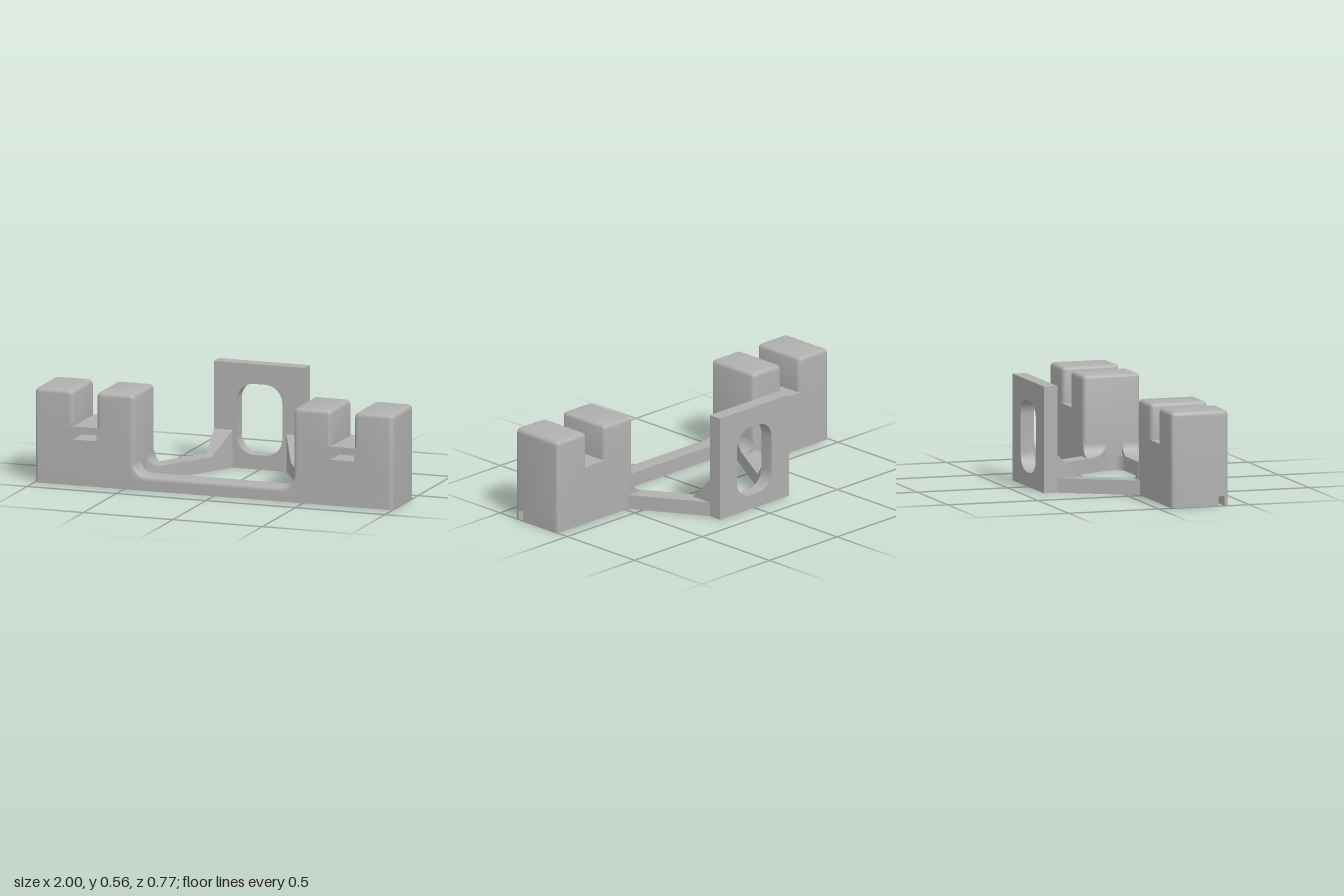
import * as THREE from 'three';
import { toCreasedNormals } from 'three/addons/utils/BufferGeometryUtils.js';
import { ConvexGeometry } from 'three/addons/geometries/ConvexGeometry.js';

const R = 0.022; // edge rounding
const BASE = 0.077; // height of the low frame
const GROOVE = 0.052; // height of the groove under the front

// Move every vertex by a rule
function remap(geo, rule) {
  const p = geo.attributes.position;
  const v = new THREE.Vector3();
  for (let i = 0; i < p.count; i++) {
    rule(v.fromBufferAttribute(p, i));
    p.setXYZ(i, v.x, v.y, v.z);
  }
  return geo;
}

// Mirrored copy across x = 0, with the corner order turned round
function mirrored(geo) {
  const g = geo.index ? geo.toNonIndexed() : geo.clone();
  const p = g.attributes.position;
  const a = new THREE.Vector3(), b = new THREE.Vector3();
  for (let i = 0; i < p.count; i += 3) {
    a.fromBufferAttribute(p, i + 1);
    b.fromBufferAttribute(p, i + 2);
    p.setXYZ(i + 1, b.x, b.y, b.z);
    p.setXYZ(i + 2, a.x, a.y, a.z);
  }
  return remap(g, (v) => { v.x = -v.x; });
}

// Closed path through [x, y, cornerRadius] points
function path(points, Type = THREE.Shape) {
  const s = new Type();
  points.forEach(([x, y, r = 0], i) => {
    const c = new THREE.Vector2(x, y);
    const toward = (q) => new THREE.Vector2(q[0], q[1]).sub(c).setLength(r).add(c);
    const n = points.length;
    const a = toward(points[(i + n - 1) % n]), b = toward(points[(i + 1) % n]);
    if (i === 0) s.moveTo(a.x, a.y); else s.lineTo(a.x, a.y);
    if (r) {
      // near-circular corner
      const k = 0.5523;
      const h1 = a.clone().lerp(c, k), h2 = b.clone().lerp(c, k);
      s.bezierCurveTo(h1.x, h1.y, h2.x, h2.y, b.x, b.y);
    }
  });
  s.closePath();
  return s;
}

// Front outline pushed along z, with rounded front and back edges
function roundedExtrude(shape, z0, z1) {
  return new THREE.ExtrudeGeometry(shape, {
    depth: z1 - z0 - 2 * R, bevelThickness: R, bevelSize: R, bevelOffset: -R,
    bevelSegments: 4, curveSegments: 6,
  }).translate(0, 0, z0 + R);
}

// Floor plan in [x, z, radius] raised from y0 to y1
const plan = (pts) => pts.map(([x, z, r]) => [x, -z, r]);
function slab(outline, hole, y0, y1) {
  const s = path(plan(outline));
  if (hole) s.holes.push(path(plan(hole), THREE.Path));
  return new THREE.ExtrudeGeometry(s, { depth: y1 - y0, bevelEnabled: false, curveSegments: 6 })
    .rotateX(-Math.PI / 2).translate(0, y0, 0);
}

export function createModel() {
  const model = new THREE.Group();
  model.name = 'bracket';
  const grey = new THREE.MeshStandardMaterial({ color: 0xb0b0b0 });
  grey.name = 'plain grey';

  const add = (name, geo) => {
    const mesh = new THREE.Mesh(toCreasedNormals(geo, 0.5), grey);
    mesh.name = name;
    model.add(mesh);
  };
  const addPair = (name, geo) => {
    add('left' + name, geo);
    add('right' + name, mirrored(geo));
  };

  // Low frame: block footings, slanted arms and the foot of the plate
  add('baseFrame', slab(
    [[-1, 0.33], [1, 0.33], [1, 0.07, R], [0.48, 0.07], [0.255, -0.31], [0.255, -0.385],
      [-0.255, -0.385], [-0.255, -0.31], [-0.48, 0.07], [-1, 0.07, R]],
    [[-0.15, -0.31], [0.15, -0.31], [0.445, 0.2], [0.445, 0.285, 0.05],
      [-0.445, 0.285, 0.05], [-0.445, 0.2]],
    0, BASE));

  // Thin lip in front of the groove
  add('frontLip', slab([[-1, 0.362], [-1, 0.385, R], [1, 0.385, R], [1, 0.362]], null, 0, GROOVE));

  // Front beam with fillets rising to the blocks
  const beam = path([[-0.5, -0.05], [0.5, -0.05], [0.5, 0.149], [0.445, 0.149], [0.445, BASE, 0.07],
    [-0.445, BASE, 0.07], [-0.445, 0.149], [-0.5, 0.149]]);
  add('frontBeam', remap(roundedExtrude(beam, 0.25, 0.385), (v) => {
    v.y = Math.max(v.y, GROOVE);
    v.z = Math.max(v.z, 0.285);
  }));

  // Notched blocks with a narrow pocket in the front
  const top = 0.507, c = 0.025;
  const block = path([[0.445, -0.05], [1, -0.05], [1, top, c], [0.785, top, c], [0.785, 0.315],
    [0.655, 0.315], [0.655, top, c], [0.445, top, c]]);
  block.holes.push(path([[0.68, 0.25], [0.68, 0.255], [0.76, 0.255], [0.76, 0.25]], THREE.Path));
  addPair('Block', remap(roundedExtrude(block, 0.07, 0.385), (v) => {
    if (v.x > 0.6 && v.x < 0.84 && v.y > 0.2 && v.y < 0.32) {
      if (v.y > 0.285) v.y = 0.315; // sharp notch floor
      else { // sharp pocket
        v.x = v.x < 0.72 ? 0.655 : 0.785;
        v.y = v.y < 0.2525 ? 0.245 : 0.28;
      }
    }
    v.y = Math.max(v.y, GROOVE);
  }));
  addPair('PocketBack', new THREE.BoxGeometry(0.14, 0.045, 0.18).translate(0.72, 0.2625, 0.16));

  // Fillet where each arm meets its block, trimmed along the arm
  const fillet = path([[0.375, 0.07], [0.46, 0.07], [0.46, 0.147], [0.445, 0.147], [0.445, BASE, 0.069],
    [0.375, BASE]]);
  const filletGeo = new THREE.ExtrudeGeometry(fillet, { depth: 0.13, steps: 8, bevelEnabled: false, curveSegments: 6 })
    .translate(0, 0, 0.07);
  addPair('ArmFillet', remap(filletGeo, (v) => {
    v.x = Math.max(v.x, 0.15 + (v.z + 0.31) * 0.5784);
  }));

  // Upright back plate with a rounded opening
  const plate = path([[-0.255, 0], [0.255, 0], [0.255, 0.565], [-0.255, 0.565]]);
  plate.holes.push(path([[-0.127, BASE, 0.095], [-0.127, 0.458, 0.095], [0.127, 0.458, 0.095],
    [0.127, BASE, 0.095]], THREE.Path));
  add('backPlate', new THREE.ExtrudeGeometry(plate, { depth: 0.075, bevelEnabled: false, curveSegments: 8 })
    .translate(0, 0, -0.385));

  // Wedges bracing the plate on the arms
  addPair('Gusset', new ConvexGeometry([
    [0.15, 0.202, -0.31], [0.255, 0.202, -0.31], [0.15, 0.07, -0.31], [0.255, 0.07, -0.31],
    [0.222, BASE, -0.185], [0.255, BASE, -0.185], [0.222, 0.07, -0.185], [0.255, 0.07, -0.185],
  ].map((p) => new THREE.Vector3(...p))));

  return model;
}
